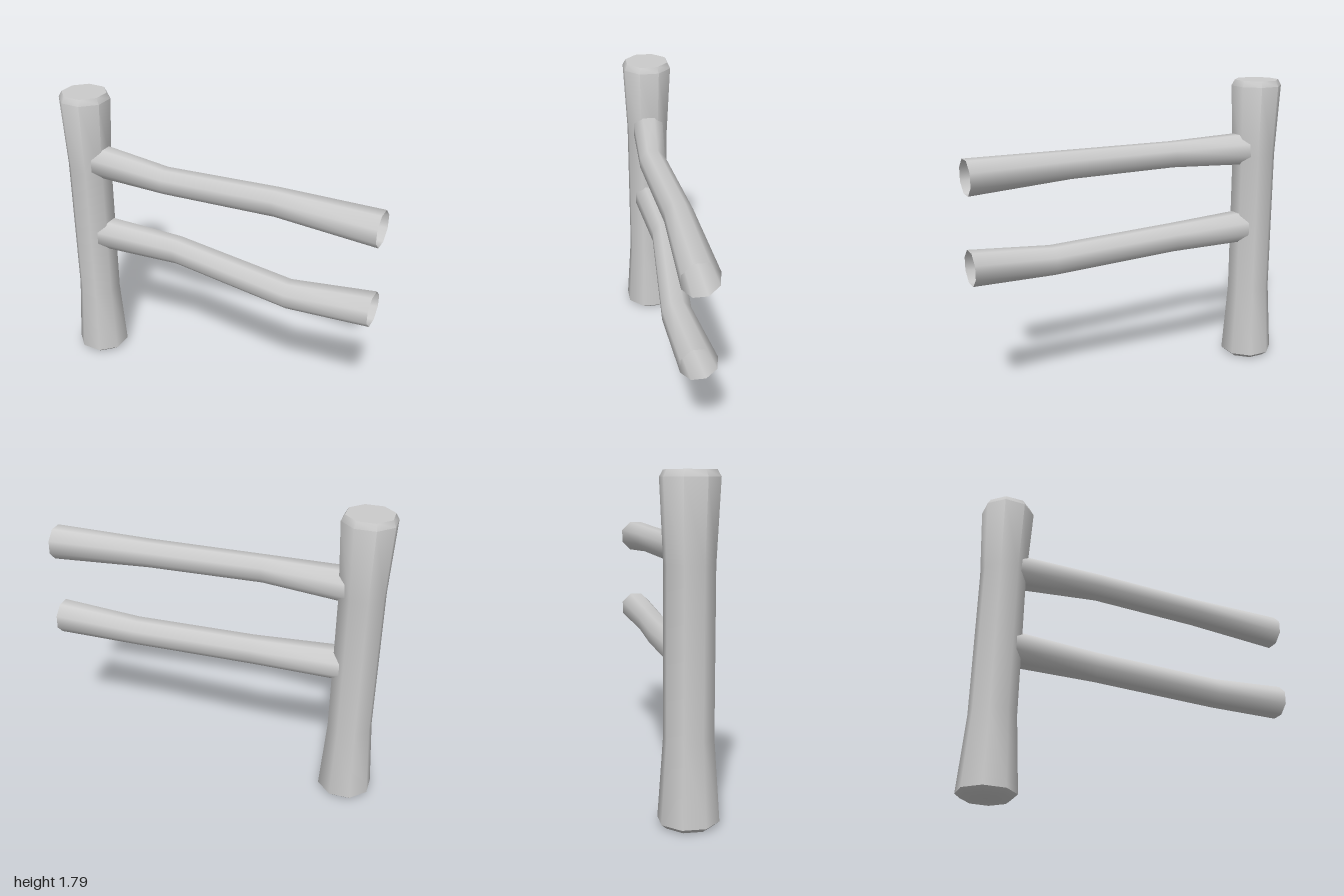
import * as THREE from 'three';
import { mergeVertices, toCreasedNormals } from 'three/addons/utils/BufferGeometryUtils.js';

const SIDES = 8;
const toCorner = 1 / Math.cos(Math.PI / SIDES); // flat half-width -> corner radius

// Eight-sided post, flared at both ends with small bevels
function makePost(material) {
  const profile = [
    [0, 0], [0.122, 0], [0.15, 0.025], [0.122, 0.46],
    [0.122, 1.33], [0.142, 1.755], [0.124, 1.79], [0, 1.79],
  ].map(([half, y]) => new THREE.Vector2(half * toCorner, y));
  const geometry = new THREE.LatheGeometry(profile, SIDES, Math.PI / SIDES);
  const post = new THREE.Mesh(toCreasedNormals(geometry, 0.9), material);
  post.name = 'post';
  post.position.x = -0.85;
  return post;
}

// Open eight-sided tube through stations [x, y, z, half-width]
function makeRail(name, stations, material) {
  let geometry = new THREE.CylinderGeometry(
    toCorner, toCorner, 1, SIDES, stations.length - 1, true, Math.PI / SIDES);
  geometry.rotateZ(-Math.PI / 2);
  const pos = geometry.attributes.position;
  for (let i = 0; i < pos.count; i++) {
    const k = Math.round((pos.getX(i) + 0.5) * (stations.length - 1));
    const [x, y, z, half] = stations[k];
    pos.setXYZ(i, x, y + pos.getY(i) * half, z + pos.getZ(i) * half);
  }
  geometry.deleteAttribute('uv');
  geometry.deleteAttribute('normal');
  geometry = mergeVertices(geometry);
  geometry.computeVertexNormals();
  const rail = new THREE.Mesh(geometry, material);
  rail.name = name;
  return rail;
}

export function createModel() {
  const wood = new THREE.MeshStandardMaterial({ color: 0xcccccc });
  const openWood = new THREE.MeshStandardMaterial({ color: 0xcccccc, side: THREE.DoubleSide });

  const model = new THREE.Group();
  model.name = 'fenceSection';
  model.add(
    makePost(wood),
    makeRail('upperRail', [
      [-0.8, 1.37, 0, 0.094], [-0.28, 1.37, 0.045, 0.074],
      [0.4, 1.382, 0.004, 0.077], [1, 1.37, 0, 0.095],
    ], openWood),
    makeRail('lowerRail', [
      [-0.8, 0.873, 0, 0.094], [-0.25, 0.875, -0.027, 0.08],
      [0.51, 0.829, 0.03, 0.081], [1, 0.865, 0, 0.095],
    ], openWood),
  );
  return model;
}
